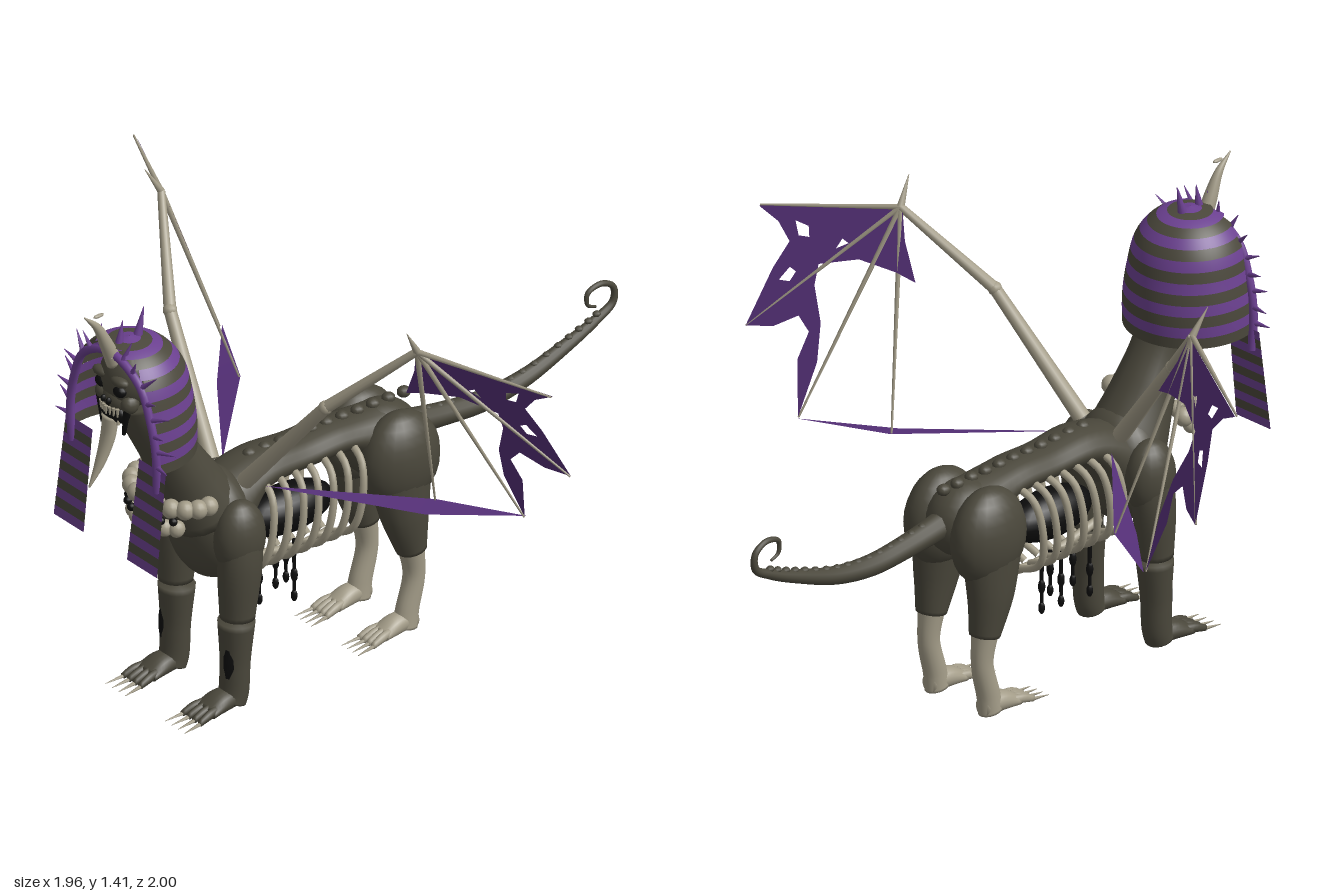
import * as THREE from 'three';

const mat = (color, side = THREE.FrontSide) => new THREE.MeshStandardMaterial({ color, side, roughness: 0.9 });
const V = (x, y, z) => new THREE.Vector3(x, y, z);

export function createModel() {
  const root = new THREE.Group();
  const hide = mat(0x4a473b), bone = mat(0xa39c88), black = mat(0x0c0c0c), purple = mat(0x6b4090);
  const skin = mat(0x553078, THREE.DoubleSide);
  const cloth = [mat(0x6b4090, THREE.DoubleSide), mat(0x4a473b, THREE.DoubleSide)];

  const add = (name, geo, material) => {
    const m = new THREE.Mesh(geo, material);
    m.name = name;
    root.add(m);
    return m;
  };
  const ball = (name, x, y, z, rx, ry, rz, material, seg = 20) => {
    const m = add(name, new THREE.SphereGeometry(1, seg, Math.ceil(seg * 0.7)), material);
    m.position.set(x, y, z);
    m.scale.set(rx, ry, rz);
    return m;
  };
  // Tapered rod between two points
  const rod = (name, a, b, ra, rb, material, sides = 8) => {
    const d = b.clone().sub(a);
    const m = add(name, new THREE.CylinderGeometry(rb, ra, d.length(), sides), material);
    m.position.copy(a).addScaledVector(d, 0.5);
    m.quaternion.setFromUnitVectors(V(0, 1, 0), d.normalize());
    return m;
  };
  const tube = (name, pts, r, material, n = 20) =>
    add(name, new THREE.TubeGeometry(new THREE.CatmullRomCurve3(pts), n, r, 8), material);

  // Closed skin over elliptical sections [x, y, z, radiusX, radiusOther]
  const loft = (name, rows, material, steps = 24, sides = 18) => {
    const path = new THREE.CatmullRomCurve3(rows.map(r => V(r[0], r[1], r[2])));
    const size = new THREE.CatmullRomCurve3(rows.map(r => V(r[3], r[4] ?? r[3], 0)));
    const pos = [], idx = [], X = V(1, 0, 0);
    for (let j = 0; j <= steps + 2; j++) {
      const t = THREE.MathUtils.clamp((j - 1) / steps, 0, 1);
      const end = j === 0 || j === steps + 2 ? 0 : 1;
      const p = path.getPoint(t), s = size.getPoint(t).multiplyScalar(end);
      const N = path.getTangent(t).cross(X).normalize();
      for (let i = 0; i < sides; i++) {
        const a = (i / sides) * Math.PI * 2;
        const q = p.clone().addScaledVector(X, s.x * Math.cos(a)).addScaledVector(N, s.y * Math.sin(a));
        pos.push(q.x, q.y, q.z);
        if (j < steps + 2) {
          const A = j * sides + i, B = j * sides + (i + 1) % sides;
          idx.push(A, B, A + sides, B, B + sides, A + sides);
        }
      }
    }
    const g = new THREE.BufferGeometry();
    g.setAttribute('position', new THREE.Float32BufferAttribute(pos, 3));
    g.setIndex(idx);
    g.computeVertexNormals();
    return add(name, g, material);
  };

  // Body, neck and tail
  loft('back', [[0, .6, .5, .12, .11], [0, .675, .38, .095, .06], [0, .68, .2, .085, .048], [0, .68, .05, .085, .05], [0, .64, -.1, .1, .09]], hide);
  ball('chest', 0, .56, .53, .15, .18, .115, hide, 28);
  ball('pelvis', 0, .61, -.11, .11, .12, .13, hide);
  loft('neck', [[0, .62, .56, .13, .12], [0, .75, .63, .1, .095], [0, .88, .7, .085, .08], [0, 1, .76, .09, .08], [0, 1.08, .79, .08, .08]], hide);
  const tail = [[0, .62, -.2, .042], [0, .6, -.35, .036], [0, .59, -.5, .033], [0, .61, -.65, .028], [0, .66, -.8, .022], [0, .71, -.92, .016],
    [0, .75, -.985, .012], [0, .8, -.985, .01], [0, .825, -.94, .009], [0, .81, -.89, .008], [0, .77, -.89, .006], [0, .755, -.92, .004]];
  loft('tail', tail, hide, 70, 12);
  for (let i = 0; i < 11; i++) ball('spineBump', 0, .728, .38 - i * .058, .02, .018, .022, hide, 10);
  const tailPath = new THREE.CatmullRomCurve3(tail.map(r => V(0, r[1], r[2])));
  for (let i = 2; i < 18; i++) {
    const p = tailPath.getPoint(i * .027);
    ball('tailBump', 0, p.y + .034 - i * .001, p.z, .012, .01, .014, hide, 8);
  }

  // Rib cage with the organ inside
  tube('sternum', [V(0, .4, .45), V(0, .37, .32), V(0, .35, .18), V(0, .36, .07)], .014, bone);
  ball('organ', 0, .495, .24, .075, .075, .165, black);

  // Hanging strands below the ribs
  [[-.03, .38, .2], [.01, .35, .23], [-.045, .245, .22], [.005, .215, .19], [-.015, .23, .25]].forEach(([x, z, y]) => {
    rod('strand', V(x, .38, z), V(x, y, z), .007, .005, black, 6);
    ball('strandDrop', x, y, z, .01, .02, .01, black, 8);
    ball('strandKnot', x, y + .07, z, .011, .025, .011, black, 8);
  });

  for (const s of [-1, 1]) {
    for (let i = 0; i < 7; i++) {
      const z = .055 + i * .056;
      tube('rib', [V(s * .05, .675, z - .01), V(s * .12, .64, z), V(s * .145, .53, z + .015), V(s * .115, .42, z + .03), V(s * .01, .365, z + .04)], .0115, bone);
    }
    // Front leg
    ball('shoulder', s * .135, .56, .525, .068, .12, .085, hide);
    loft('frontLeg', [[s * .14, .62, .52, .05, .06], [s * .145, .48, .53, .062, .07], [s * .145, .3, .54, .052, .054]], hide);
    loft('frontShin', [[s * .14, .285, .54, .058, .056], [s * .14, .15, .545, .048, .045], [s * .14, .05, .55, .046, .045], [s * .14, .02, .56, .045, .045]], hide);
    ball('legScar', s * .152, .16, .558, .026, .1, .036, black, 12);
    // Hind leg
    ball('haunch', s * .095, .58, -.11, .088, .155, .135, hide);
    loft('thigh', [[s * .1, .56, -.1, .075, .11], [s * .11, .4, -.115, .062, .08], [s * .11, .27, -.14, .046, .048]], hide);
    loft('hindShin', [[s * .11, .3, -.135, .043, .042], [s * .11, .18, -.15, .032, .035], [s * .11, .07, -.125, .032, .038], [s * .11, .015, -.115, .034, .042]], bone);
    // Paws with four toes and claws each
    [['front', .14, .56, .033, hide], ['hind', .11, -.12, .026, bone]].forEach(([n, x, z, w, m]) => {
      loft(n + 'Paw', [[s * x, .035, z - .03, w, .03], [s * x, .035, z + .04, w * 1.35, .032], [s * x, .02, z + .1, w * 1.5, .018]], m, 12);
      for (let k = -1.5; k < 2; k++) {
        const tx = s * x + k * w * .72;
        loft(n + 'Toe', [[tx - k * .006, .03, z + .06, .012, .016], [tx, .025, z + .11, .012, .015], [tx + k * .003, .012, z + .15, .008, .01]], m, 8, 8);
        rod(n + 'Claw', V(tx + k * .003, .012, z + .14), V(tx + k * .007, .005, z + .21), .007, .001, bone, 6);
      }
    });

    // Wing arm and fingers
    const P = (x, y, z) => V(s * x, y, z);
    const elbow = P(.365, 1.05, .385), wrist = P(.6, 1.29, .23);
    rod('wingUpperArm', P(.08, .7, .46), elbow, .026, .019, bone, 10);
    ball('wingElbow', elbow.x, elbow.y, elbow.z, .022, .022, .022, bone, 10);
    rod('wingForearm', elbow, wrist, .019, .012, bone, 10);
    rod('wingThumb', wrist, P(.615, 1.375, .28), .012, .001, bone);
    [P(.98, 1.235, .03), P(.925, .9, -.085), P(.715, .67, -.08), P(.46, .66, .05)].forEach(tip => rod('wingFinger', wrist, tip, .009, .003, bone, 6));

    // Torn membrane, laid in the plane of the fingers
    const v2 = a => a.map(([x, y]) => new THREE.Vector2(x, y));
    const sheet = new THREE.Shape(v2([[.59, 1.285], [.98, 1.235], [.915, 1.2], [.87, 1.15], [.895, 1.07], [.925, .9], [.85, .91], [.79, .95], [.75, .91], [.76, .83],
      [.715, .67], [.705, .83], [.725, .94], [.77, 1.04], [.775, 1.1], [.67, 1.13], [.56, 1.11], [.5, 1.09], [.56, 1.2]]));
    [[[.83, 1.2], [.87, 1.21], [.85, 1.17], [.82, 1.17]], [[.83, 1.07], [.85, 1.08], [.87, 1.04], [.84, 1.04]], [[.71, 1.17], [.73, 1.18], [.74, 1.15]]]
      .forEach(h => sheet.holes.push(new THREE.Path(v2(h))));
    const g = new THREE.ShapeGeometry(sheet), q = g.attributes.position;
    for (let i = 0; i < q.count; i++) {
      const x = q.getX(i), y = q.getY(i);
      q.setXYZ(i, s * x, y, .225 - .473 * (x - .6) + .408 * (y - 1.29));
    }
    g.computeVertexNormals();
    add('wingMembrane', g, skin);
    // Narrow flap trailing back to the flank
    const f = new THREE.BufferGeometry().setFromPoints([P(.715, .67, -.09), P(.46, .66, -.035 + .08), P(.49, .645, .11), P(.1, .67, .4)]);
    f.setIndex([0, 1, 2, 2, 1, 3]);
    f.computeVertexNormals();
    add('wingFlap', f, skin);

    // Striped lapel, leaning forward at the bottom
    const rows = 11, h = .33 / rows;
    for (let i = 0; i < rows; i++) {
      const y = .94 - (i + .5) * h;
      const m = add('lapelStripe', new THREE.PlaneGeometry(.125 + i * .0015, h * 1.008), cloth[i % 2]);
      m.position.set(s * .172, y, .88 + (.94 - y) * .12);
      m.rotation.x = -.12;
    }
    // Face details
    ball('eyeSocket', s * .042, 1.145, .899, .024, .019, .018, black, 12);
    ball('brow', s * .042, 1.178, .9, .036, .016, .02, hide, 12);
    ball('cheek', s * .06, 1.1, .875, .026, .03, .03, hide, 12);
    ball('nostril', s * .012, 1.105, .917, .008, .012, .01, black, 8);
    rod('jawStrand', V(s * .066, 1.1, .89), V(s * .05, 1.0, .89), .012, .006, black);
  }

  // Skull, mouth, beard and horn
  ball('skull', 0, 1.16, .83, .092, .1, .085, hide, 28);
  ball('muzzle', 0, 1.1, .87, .05, .05, .045, hide);
  ball('mouth', 0, 1.055, .88, .055, .035, .035, black);
  for (let i = -3; i <= 3; i++) {
    rod('upperTooth', V(i * .013, 1.085, .917 - Math.abs(i) * .004), V(i * .013, 1.058, .917 - Math.abs(i) * .004), .006, .003, bone, 6);
    rod('lowerTooth', V(i * .012, 1.03, .912 - Math.abs(i) * .004), V(i * .012, 1.05, .912 - Math.abs(i) * .004), .006, .003, bone, 6);
  }
  loft('beard', [[0, 1.045, .9, .028, .022], [0, .98, .91, .026, .02], [0, .9, .94, .017, .014], [0, .83, .98, .003, .003]], bone);
  loft('horn', [[0, 1.22, .885, .024, .026], [0, 1.29, .915, .021, .021], [0, 1.36, .95, .012, .013], [0, 1.41, .998, .002, .002]], bone);
  for (let i = 0; i < 5; i++) ball('hornRing', 0, 1.25 + i * .027, .897 + i * .0125, .025 - i * .003, .007, .025 - i * .003, bone, 10);
  ball('hornCrest', 0, 1.398, .945, .007, .006, .02, bone, 8);

  // Striped headdress, cut open at the front around the face
  const prof = new THREE.CatmullRomCurve3([V(.2, .92, 0), V(.2, 1, 0), V(.187, 1.1, 0), V(.16, 1.2, 0), V(.1, 1.265, 0), V(.001, 1.29, 0)]);
  const bands = 14;
  for (let i = 0; i < bands; i++) {
    const pts = [0, .5, 1].map(k => prof.getPointAt((i + k) / bands)).map(p => new THREE.Vector2(p.x, p.y));
    const open = Math.acos(Math.min(1, .06 / pts[1].x));
    const m = add('headdressStripe', new THREE.LatheGeometry(pts, 40, open, Math.PI * 2 - open * 2), cloth[(i + 1) % 2]);
    m.position.z = .83;
  }
  const arch = [V(-.2, .87, .885), V(-.2, 1, .89), V(-.178, 1.1, .893), V(-.13, 1.2, .895), V(0, 1.255, .895)];
  const rimPts = [...arch, ...arch.slice(0, 4).reverse().map(p => V(-p.x, p.y, p.z))];
  tube('headdressRim', rimPts, .013, purple, 60);
  const rim = new THREE.CatmullRomCurve3(rimPts);
  for (let i = 0; i < 17; i++) {
    const t = .09 + i * .82 / 16, p = rim.getPointAt(t), d = rim.getTangentAt(t);
    const out = V(-d.y, d.x, i % 2 ? -.25 : .15).normalize();
    rod('rimSpike', p, p.clone().addScaledVector(out, i % 2 ? .075 : .06), .01, .001, purple, 6);
  }
  rod('crownSpike', V(0, 1.27, .8), V(0, 1.37, .775), .016, .001, purple);
  rod('crownSpike', V(0, 1.26, .87), V(0, 1.35, .855), .016, .001, purple);

  // Bead collar in two rows, with small dark beads between
  for (let i = 0; i < 11; i++) {
    const a = (i / 10 - .5) * 3.3;
    ball('collarBead', Math.sin(a) * .15, .715, .66 + Math.cos(a) * .11, .029, .03, .029, bone, 14);
  }
  for (let i = 0; i < 7; i++) {
    const a = (i / 6 - .5) * 2;
    ball('lowerBead', Math.sin(a) * .12, .645, .68 + Math.cos(a) * .095, .023, .027, .026, bone, 14);
    ball('darkBead', Math.sin(a) * .125, .677, .695 + Math.cos(a) * .1, .013, .013, .013, black, 10);
  }
  return root;
}
